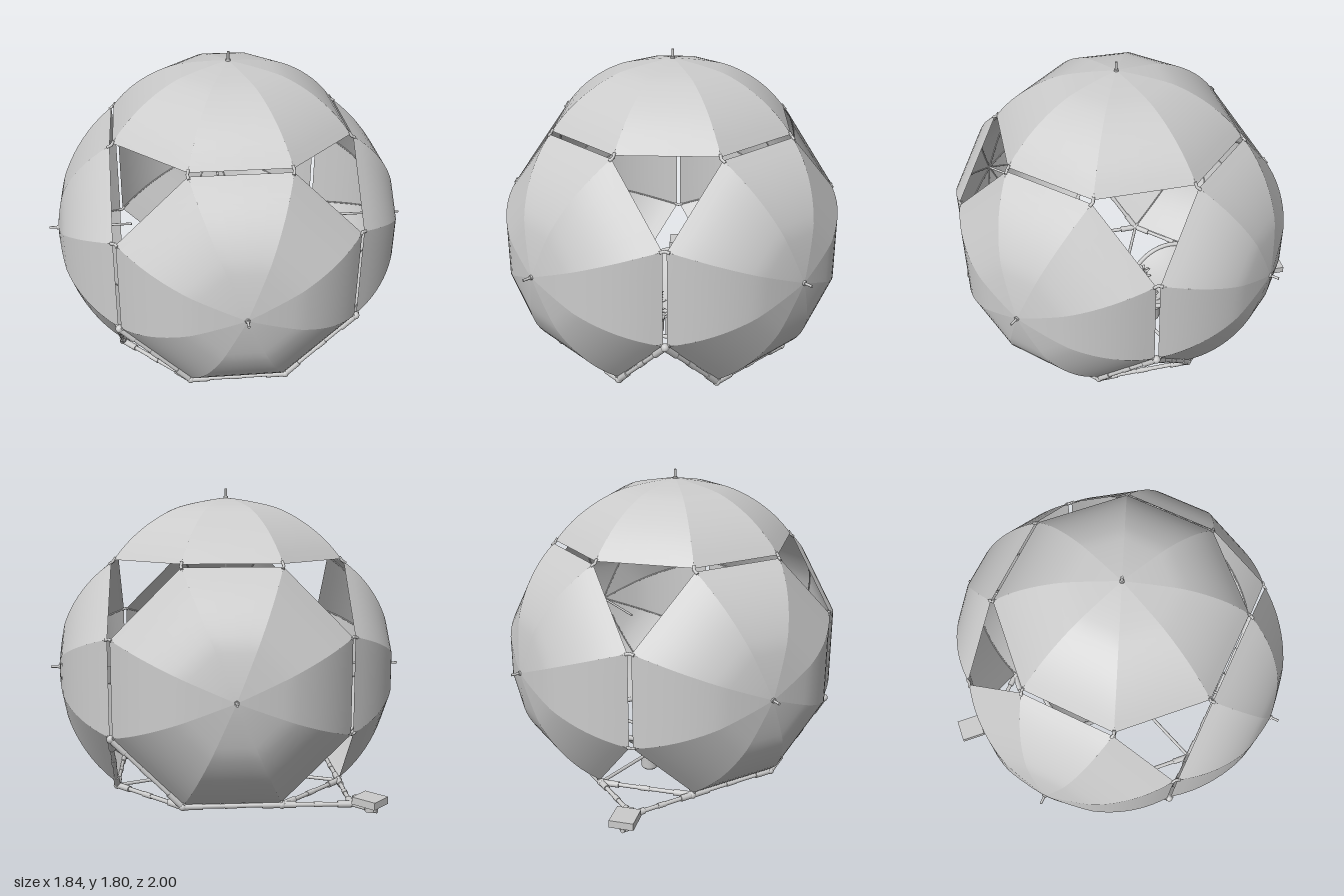
import * as THREE from 'three';

const CY = 0.775, CZ = 0.085;          // centre of the sphere the canopies wrap
const PLANE = 0.64, RIM = 0.677, RISE = 0.335; // canopy distance, rim radius, height
const mat = new THREE.MeshStandardMaterial({ color: 0xcccccc });
const cloth = new THREE.MeshStandardMaterial({ color: 0xcccccc, side: THREE.DoubleSide });
const V = (x, y, z) => new THREE.Vector3(x, y, z);

function add(parent, name, geo, x = 0, y = 0, z = 0, m = mat) {
  const mesh = new THREE.Mesh(geo, m);
  mesh.name = name;
  mesh.position.set(x, y, z);
  parent.add(mesh);
  return mesh;
}

// straight round bar between two points
function bar(parent, name, a, b, r, sides = 10) {
  const mesh = add(parent, name, new THREE.CylinderGeometry(r, r, a.distanceTo(b), sides));
  mesh.position.copy(a).add(b).multiplyScalar(0.5);
  mesh.quaternion.setFromUnitVectors(V(0, 1, 0), b.clone().sub(a).normalize());
  return mesh;
}

// frame tube with thicker sleeves at the ends and a slim coupling in the middle
function frameTube(parent, a, b) {
  const at = t => a.clone().lerp(b, t);
  bar(parent, 'frameTube', a, b, 0.012);
  bar(parent, 'endSleeve', at(0), at(0.2), 0.018);
  bar(parent, 'endSleeve', at(0.8), at(1), 0.018);
  bar(parent, 'coupling', at(0.46), at(0.58), 0.015);
}

const corner = (k, r) => {
  const a = Math.PI / 8 + k * Math.PI / 4;
  return V(Math.cos(a) * r, 0, Math.sin(a) * r);
};

// arc of a rib: height above the rim plane at radius r, with a slight peak
const ARC = (RIM * RIM + RISE * RISE) / (2 * RISE);
const ribHeight = r => RISE - ARC + Math.sqrt(ARC * ARC - r * r) - 0.008 * Math.sin(Math.PI * Math.min(1, r / 0.3));

// one cloth panel between two ribs
function panelGeometry(k) {
  const rows = 16, cols = 4, pos = [], index = [];
  for (let i = 0; i <= rows; i++) {
    const r = RIM * Math.max(i / rows, 0.004);
    for (let j = 0; j <= cols; j++) {
      const p = corner(k, r).lerp(corner(k + 1, r), j / cols);
      pos.push(p.x, ribHeight(r), p.z);
      if (i < rows && j < cols) {
        const a = i * (cols + 1) + j, b = a + cols + 1;
        index.push(a, a + 1, b, a + 1, b + 1, b);
      }
    }
  }
  const g = new THREE.BufferGeometry();
  g.setAttribute('position', new THREE.Float32BufferAttribute(pos, 3));
  g.setIndex(index);
  g.computeVertexNormals();
  return g;
}

// eight-panel umbrella opening along +y from the sphere centre
function umbrella(name) {
  const u = new THREE.Group(), canopy = new THREE.Group();
  u.name = name;
  canopy.position.y = PLANE;
  u.add(canopy);
  for (let k = 0; k < 8; k++) {
    add(canopy, 'clothPanel', panelGeometry(k), 0, 0, 0, cloth);
    const pts = [];
    for (let i = 0; i <= 8; i++) {
      const r = RIM * i / 8;
      pts.push(corner(k, r).setY(ribHeight(r) - 0.005));
    }
    add(canopy, 'rib', new THREE.TubeGeometry(new THREE.CatmullRomCurve3(pts), 16, 0.004, 5));
    bar(canopy, 'ribTip', corner(k, RIM - 0.01).setY(0.012), corner(k, RIM + 0.006).setY(-0.012), 0.008, 8);
  }
  bar(canopy, 'shaft', V(0, -0.085, 0), V(0, RISE + 0.05, 0), 0.007);
  bar(canopy, 'capHub', V(0, RISE - 0.012, 0), V(0, RISE + 0.008, 0), 0.013);
  return u;
}

function plant(parent, x, y, z, height) {
  const g = new THREE.Group();
  g.name = 'plant';
  g.position.set(x, y, z);
  parent.add(g);
  bar(g, 'stem', V(0, 0, 0), V(0, height, 0), 0.004, 6);
  const leaf = new THREE.SphereGeometry(1, 8, 6).scale(0.03, 0.004, 0.013).translate(0.03, 0, 0);
  for (let i = 0; i < 14; i++) {
    const t = i / 13, l = add(g, 'leaf', leaf, 0, height * (0.12 + 0.88 * t), 0);
    l.rotation.set(0, i * 2.4, 0.25 + 0.3 * t);
    l.scale.setScalar(1.1 - 0.4 * t);
  }
}

export function createModel() {
  const model = new THREE.Group();
  model.name = 'umbrellaDome';

  // canopies: one on top, four facing the diagonals
  const dome = new THREE.Group();
  dome.name = 'dome';
  dome.position.set(0, CY, CZ);
  model.add(dome);
  dome.add(umbrella('topUmbrella'));
  for (let k = 0; k < 4; k++) {
    const u = umbrella('sideUmbrella');
    u.rotation.set(Math.PI / 2, Math.PI / 4 + k * Math.PI / 2, 0, 'YXZ');
    dome.add(u);
  }

  // octagonal base frame, with the front edge open as an entrance
  const base = new THREE.Group();
  base.name = 'baseFrame';
  base.position.set(0, 0.135, CZ);
  model.add(base);
  const R = 0.688;
  for (let k = 0; k < 8; k++) {
    if (k !== 1) frameTube(base, corner(k, R), corner(k + 1, R));
    add(base, 'cornerJoint', new THREE.SphereGeometry(0.022, 12, 8)).position.copy(corner(k, R));
    bar(base, 'floorSpoke', corner(k, 0.2), corner(k, R), 0.01);
  }
  add(base, 'floorRing', new THREE.TorusGeometry(0.2, 0.012, 8, 40)).rotation.x = Math.PI / 2;

  // triangular supports at the front, left and right
  [[7, 0, V(0.897, 0.375, 0)], [1, 2, V(0, 0.375, 0.897)], [3, 4, V(-0.897, 0.375, 0)]].forEach(([a, b, tip]) => {
    frameTube(base, corner(a, R), tip);
    frameTube(base, corner(b, R), tip);
    add(base, 'peakJoint', new THREE.SphereGeometry(0.022, 12, 8)).position.copy(tip);
  });

  // level rear triangle carrying an outrigger box
  const rear = V(0, -0.005, -0.9);
  frameTube(base, corner(5, R), rear);
  frameTube(base, corner(6, R), rear);
  bar(base, 'rearArm', rear, V(0, -0.005, -1.06), 0.012);
  bar(base, 'boxPost', V(0, -0.015, -1.02), V(0, 0.03, -1.02), 0.03);
  add(model, 'outriggerBox', new THREE.BoxGeometry(0.13, 0.04, 0.14), 0, 0.178, -0.93);
  add(model, 'boxConnector', new THREE.BoxGeometry(0.035, 0.025, 0.04), 0, 0.172, -0.85);

  // hanging planters around a central block
  const potProfile = [[0, 0], [0.04, 0], [0.049, 0.008], [0.052, 0.02], [0.052, 0.1], [0.06, 0.105], [0.06, 0.125], [0, 0.125]]
    .map(p => new THREE.Vector2(p[0], p[1]));
  for (const x of [-0.11, 0.11]) for (const z of [0.03, -0.1]) {
    add(model, 'planter', new THREE.LatheGeometry(potProfile, 24), x, 0.012, z);
    if (z > 0) plant(model, x, 0.135, z, 0.22);
    else plant(model, x, 0.135, z, 0.09);
  }
  add(model, 'centreBlock', new THREE.BoxGeometry(0.09, 0.14, 0.09), 0, 0.07, 0.03);
  for (const z of [0.03, -0.1]) bar(model, 'planterRail', V(-0.18, 0.135, z), V(0.18, 0.135, z), 0.01);

  // tilted round lounge seat behind the plants
  const seat = new THREE.Group();
  seat.name = 'loungeSeat';
  seat.position.set(0, 0.25, -0.21);
  seat.rotation.x = 0.5;
  model.add(seat);
  const bowl = [[0, -0.06], [0.09, -0.053], [0.18, -0.028], [0.24, 0]].map(p => new THREE.Vector2(p[0], p[1]));
  add(seat, 'seatBowl', new THREE.LatheGeometry(bowl, 40), 0, 0, 0, cloth);
  add(seat, 'seatRim', new THREE.TorusGeometry(0.24, 0.014, 8, 40)).rotation.x = Math.PI / 2;

  return model;
}
